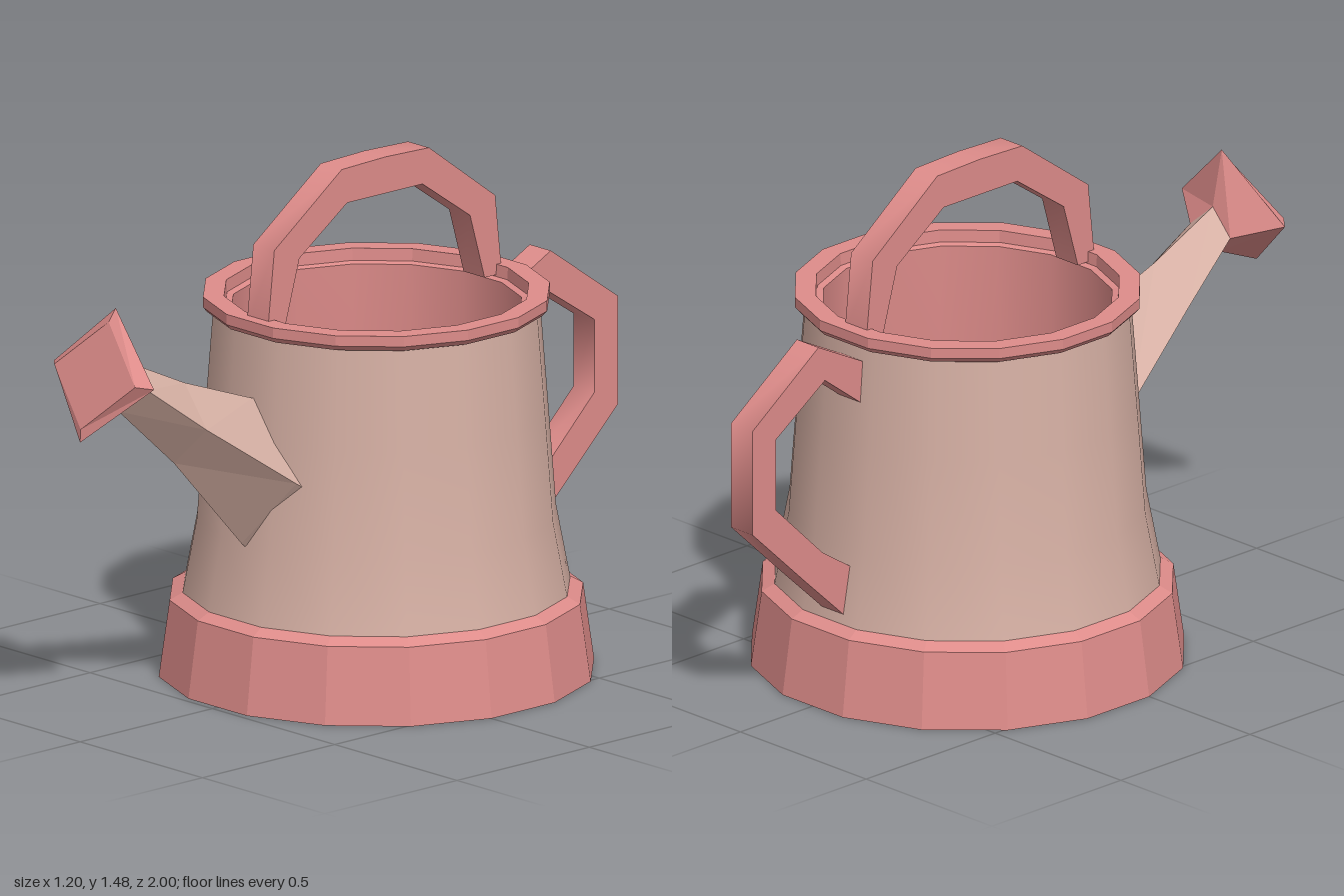
import * as THREE from 'three';
import { toCreasedNormals } from 'three/addons/utils/BufferGeometryUtils.js';

const SIDES = 16;
const CENTRE_Z = -0.12; // axis of the can
const FLAT = 1 / Math.cos(Math.PI / SIDES); // apothem to corner radius

export function createModel() {
  const pink = new THREE.MeshStandardMaterial({ color: 0xde8c8a });
  pink.name = 'pink';
  const tan = new THREE.MeshStandardMaterial({ color: 0xd6b0a4 });
  tan.name = 'tan';

  const model = new THREE.Group();
  model.name = 'wateringCan';

  function add(name, geometry, material) {
    const mesh = new THREE.Mesh(geometry, material);
    mesh.name = name;
    model.add(mesh);
    return mesh;
  }

  function flat(geometry) {
    const g = geometry.toNonIndexed();
    g.computeVertexNormals();
    return g;
  }

  // Sixteen-sided turned part; profile is [apothem, y], flats facing the axes
  function turned(profile) {
    const pts = profile.map(([r, y]) => new THREE.Vector2(r * FLAT, y));
    return new THREE.LatheGeometry(pts, SIDES, Math.PI / SIDES).translate(0, 0, CENTRE_Z);
  }

  // Flat band cut out in the z-y plane, with softly shaded bends
  function band(outline) {
    const shape = new THREE.Shape(outline.map(([z, y]) => new THREE.Vector2(z, y)));
    const g = new THREE.ExtrudeGeometry(shape, { depth: 0.086, bevelEnabled: false });
    g.rotateY(-Math.PI / 2).translate(0.037, 0, 0);
    return toCreasedNormals(g, 1.0);
  }

  // Diamond sections, each { top: [z, y], side: [x, z, y], bottom: [z, y] }
  function diamondLoft(sections, capped) {
    const pos = [];
    const index = [];
    sections.forEach(({ top, side, bottom }, i) => {
      pos.push(0, top[1], top[0], side[0], side[2], side[1]);
      pos.push(0, bottom[1], bottom[0], -side[0], side[2], side[1]);
      if (i === 0) return;
      for (let k = 0; k < 4; k++) {
        const n = (k + 1) % 4;
        const a = (i - 1) * 4 + k, b = (i - 1) * 4 + n;
        const c = i * 4 + n, d = i * 4 + k;
        index.push(a, d, c, a, c, b);
      }
    });
    if (capped) {
      const e = (sections.length - 1) * 4;
      index.push(e, e + 3, e + 1, e + 1, e + 3, e + 2);
    }
    const g = new THREE.BufferGeometry();
    g.setAttribute('position', new THREE.Float32BufferAttribute(pos, 3));
    g.setIndex(index);
    return flat(g);
  }

  // Foot, body, rim and hollow inside
  add('base', flat(turned([[0, 0], [0.6, 0], [0.57, 0.22], [0.535, 0.24], [0.5, 0.24]])), pink);
  add('body', turned([[0.535, 0.235], [0.495, 0.45], [0.473, 0.75], [0.45, 1.055]]), tan);
  add('rim', flat(turned([
    [0.445, 1.045], [0.465, 1.045], [0.478, 1.06], [0.478, 1.09],
    [0.42, 1.09], [0.418, 1.055], [0.4, 1.05],
  ])), pink);
  add('innerWall', turned([[0.4, 1.05], [0.41, 0.75], [0.43, 0.45], [0.45, 0.24]]), pink);
  add('innerFloor', flat(turned([[0.45, 0.24], [0, 0.24]])), pink);

  // Carrying handle arching over the opening
  add('topHandle', band([
    [0.325, 1.06], [0.3, 1.29], [0.045, 1.475], [-0.12, 1.48],
    [-0.285, 1.475], [-0.535, 1.29], [-0.56, 1.06],
    [-0.495, 1.06], [-0.44, 1.25], [-0.26, 1.375],
    [0.025, 1.375], [0.205, 1.25], [0.26, 1.06],
  ]), pink);

  // Pouring handle at the back
  add('backHandle', band([
    [-0.56, 0.995], [-0.745, 1.09], [-1, 0.91], [-1, 0.6], [-0.79, 0.4],
    [-0.64, 0.26], [-0.6, 0.39], [-0.73, 0.475], [-0.91, 0.65],
    [-0.91, 0.86], [-0.72, 0.985], [-0.58, 0.88],
  ]), pink);

  // Tapering spout
  const tip = { top: [0.83, 1.065], side: [0.08, 0.82, 0.995], bottom: [0.855, 0.925] };
  add('spout', diamondLoft([
    { top: [0.3, 0.85], side: [0.185, 0.29, 0.62], bottom: [0.33, 0.4] },
    { top: [0.35, 0.867], side: [0.175, 0.345, 0.655], bottom: [0.39, 0.455] },
    { top: [0.605, 0.96], side: [0.113, 0.625, 0.85], bottom: [0.645, 0.735] },
    tip,
  ], false), tan);

  // Flared sprinkler head with a slightly raised face
  add('sprinklerHead', diamondLoft([
    tip,
    { top: [0.865, 1.225], side: [0.205, 0.91, 1.04], bottom: [1.0, 0.863] },
    { top: [0.892, 1.19], side: [0.165, 0.945, 1.045], bottom: [0.998, 0.9] },
  ], true), pink);

  return model;
}
